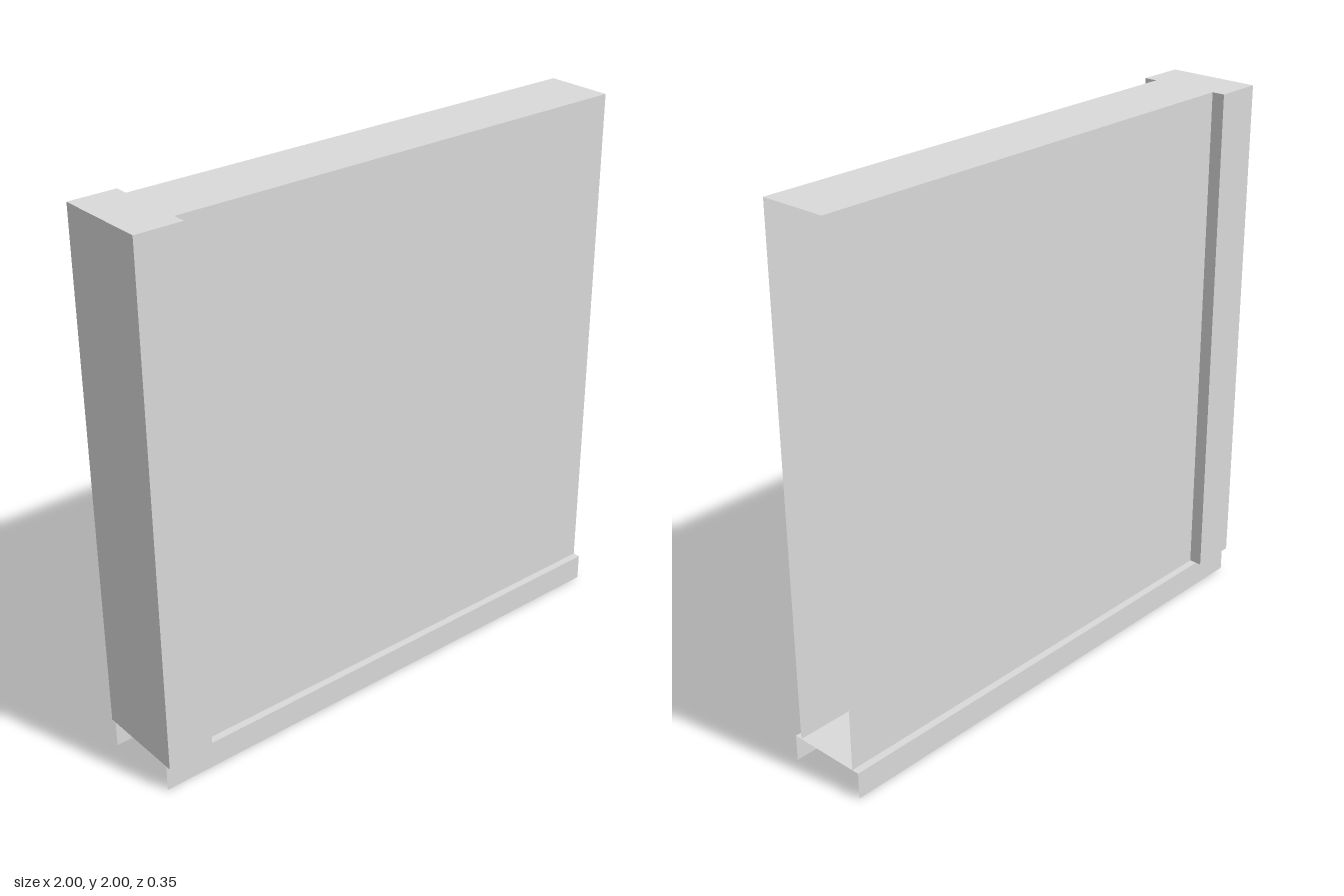
import * as THREE from 'three';

export function createModel() {
  const model = new THREE.Group();
  model.name = 'wallPanel';
  const grey = new THREE.MeshStandardMaterial({ color: 0xd9d9d9, side: THREE.DoubleSide });
  grey.name = 'light grey';

  const BASE = 0.1, TOP = 2;            // heights of the base plate and the top
  const STEP = -0.825;                  // inner face of the end post
  const WALL = 0.126, RAIL = 0.154, POST = 0.175; // half depths

  function add(name, geometry, x, y, z, parent = model) {
    const mesh = new THREE.Mesh(geometry, grey);
    mesh.name = name;
    mesh.position.set(x, y, z);
    parent.add(mesh);
    return mesh;
  }
  const upright = (w, h) => new THREE.PlaneGeometry(w, h);
  const level = (w, d) => new THREE.PlaneGeometry(w, d).rotateX(-Math.PI / 2);

  // End post: a box whose underside (the fourth face) is left open
  const post = new THREE.BoxGeometry(STEP + 1, TOP - BASE, POST * 2);
  post.setIndex(Array.from(post.index.array).filter((_, i) => Math.floor(i / 6) !== 3));
  post.clearGroups();
  add('endPost', post, (STEP - 1) / 2, (TOP + BASE) / 2, 0);

  // Hollow wall: two skins and a cap, open at the far end
  const wall = new THREE.Group();
  wall.name = 'wall';
  model.add(wall);
  const length = 1 - STEP, mid = (1 + STEP) / 2;
  add('wallCap', level(length, WALL * 2), mid, TOP, 0, wall);

  // Base channel: a thin plate with a flange hanging from each edge
  const base = new THREE.Group();
  base.name = 'baseChannel';
  model.add(base);
  add('basePlate', level(2, RAIL * 2), 0, BASE, 0, base);

  for (const [side, s] of [['front', 1], ['back', -1]]) {
    const skin = add(side + 'Skin', upright(length, TOP - BASE), mid, (TOP + BASE) / 2, s * WALL, wall);
    const flange = add(side + 'Flange', upright(2, BASE), 0, BASE / 2, s * RAIL, base);
    if (s < 0) skin.rotation.y = flange.rotation.y = Math.PI;
  }
  return model;
}
